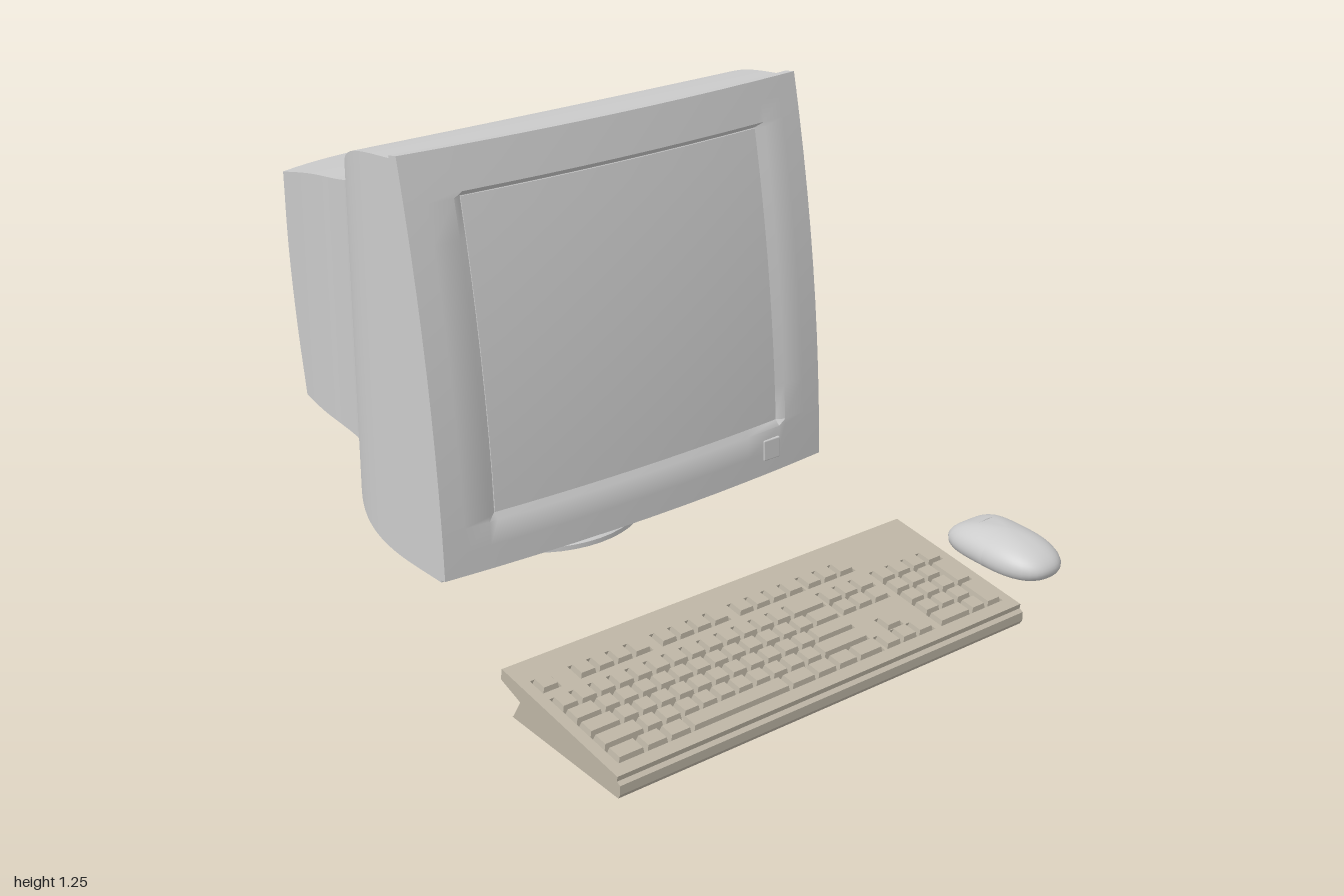
import * as THREE from 'three';
import { mergeGeometries, toCreasedNormals } from 'three/addons/utils/BufferGeometryUtils.js';
import { RoundedBoxGeometry } from 'three/addons/geometries/RoundedBoxGeometry.js';

const CX = -0.143; // centre line of the monitor
const grey = new THREE.MeshStandardMaterial({ color: 0xcccccc, side: THREE.DoubleSide });
const beige = new THREE.MeshStandardMaterial({ color: 0xbdb5a5 });
const lerp = THREE.MathUtils.lerp;

function add(group, name, geometry, material = grey, x = 0, y = 0, z = 0) {
  const mesh = new THREE.Mesh(geometry, material);
  mesh.name = name;
  mesh.position.set(x, y, z);
  group.add(mesh);
  return mesh;
}

// Move every vertex of a geometry by a rule
function warp(geometry, rule) {
  const p = geometry.attributes.position;
  for (let i = 0; i < p.count; i++) p.setXYZ(i, ...rule(p.getX(i), p.getY(i), p.getZ(i)));
  geometry.computeVertexNormals();
  return geometry;
}

// Smooth curve through [position, value] pairs in rising order
function curve(pts) {
  const slope = (i) => {
    const a = pts[Math.max(i - 1, 0)], b = pts[Math.min(i + 1, pts.length - 1)];
    return (b[1] - a[1]) / (b[0] - a[0]);
  };
  return (x) => {
    x = THREE.MathUtils.clamp(x, pts[0][0], pts[pts.length - 1][0]);
    let i = 0;
    while (i < pts.length - 2 && x > pts[i + 1][0]) i++;
    const h = pts[i + 1][0] - pts[i][0], t = (x - pts[i][0]) / h, s = t * t * (3 - 2 * t);
    const d = (pts[i + 1][1] - pts[i][1]) / h;
    return lerp(pts[i][1], pts[i + 1][1], s)
      + h * t * (1 - t) * ((1 - t) * slope(i) - t * slope(i + 1)) * (d === 0 ? 0 : 1);
  };
}

// Monitor outlines as functions of depth z
const topLine = curve([[-1, 0.89], [-0.75, 0.957], [-0.5, 1.008], [-0.4, 1.055], [-0.3, 1.125], [-0.2, 1.19], [-0.12, 1.217], [0.04, 1.238]]);
const bottomLine = curve([[-0.95, 0.25], [-0.5, 0.26], [-0.37, 0.268], [-0.2, 0.205], [-0.1, 0.178], [0, 0.168], [0.2, 0.176]]);
const halfWidth = curve([[-1, 0.37], [-0.75, 0.41], [-0.55, 0.427], [-0.48, 0.44], [-0.4, 0.485], [-0.25, 0.575], [-0.15, 0.605], [0, 0.61], [0.2, 0.61]]);
const rearEdge = curve([[0, -0.872], [0.3, -0.922], [0.65, -0.957], [1, -0.964]]);
const frontEdge = (v) => 0.215 - 0.15 * v + 0.11 * v * (1 - v);
const bow = (u) => 0.03 * (1 - u * u); // u runs -1..1 across the width

function buildMonitor() {
  const g = new THREE.Group();
  g.name = 'monitor';

  // Tapering rear housing
  add(g, 'housing', warp(new THREE.BoxGeometry(1, 1, 1, 16, 24, 48), (x, y, z) => {
    const u = 2 * x, v = y + 0.5;
    const zz = lerp(rearEdge(v), frontEdge(v) - 0.026, z + 0.5);
    const py = lerp(bottomLine(zz), topLine(zz) + 0.004 * (1 - u * u), v);
    const bulge = z > 0 ? 2 * z * bow(u) : 2.4 * z * bow(u * Math.sqrt(Math.abs(u)));
    return [CX + u * halfWidth(zz), py, zz + bulge];
  }));

  // Bezel sloping in to a recessed opening
  const inner = (a, b) => Array.from({ length: 9 }, (_, i) => lerp(a, b, i / 8));
  const us = [-1, -0.9, -0.785, ...inner(-0.747, 0.747), 0.785, 0.9, 1];
  const vs = [0, 0.06, 0.12, ...inner(0.133, 0.886), 0.899, 0.95, 1];
  const bezel = warp(new THREE.BoxGeometry(1, 1, 1, 14, 14, 1), (x, y, z) => {
    const u = us[Math.round((x + 0.5) * 14)], v = vs[Math.round((y + 0.5) * 14)];
    const open = Math.abs(u) < 0.75 && v > 0.13 && v < 0.89;
    const depth = z < 0 ? 0.034 : open ? 0.016 : 0;
    return [CX + u * 0.615, lerp(0.19, 1.252, v) + (z < 0 ? -0.006 : 0), frontEdge(v) + bow(u) - depth];
  });
  add(g, 'bezel', toCreasedNormals(bezel, 0.9));

  // Curved glass
  add(g, 'screen', warp(new THREE.BoxGeometry(1, 1, 1, 16, 16, 1), (x, y, z) => {
    const u = x * 1.49, v = lerp(0.134, 0.885, y + 0.5);
    return [CX + u * 0.615, lerp(0.19, 1.252, v), frontEdge(v) + bow(u) - (z > 0 ? 0.013 : 0.03)];
  }));

  const button = add(g, 'powerButton', new RoundedBoxGeometry(0.058, 0.06, 0.02, 2, 0.004), grey, 0.285, 0.26, 0.222);
  button.rotation.x = -0.05;

  // Tapered tray under the housing, with sockets at its rear
  const trayBottom = curve([[-0.7, 0.165], [-0.2, 0.16], [0, 0.144], [0.19, 0.172]]);
  add(g, 'underTray', warp(new THREE.BoxGeometry(1, 1, 1, 1, 1, 20), (x, y, z) => {
    const zz = lerp(-0.69, 0.19, z + 0.5);
    const w = lerp(0.295, 0.455, THREE.MathUtils.clamp((zz + 0.69) / 0.65, 0, 1));
    return [CX + 2 * x * w, y > 0 ? bottomLine(zz) + 0.015 : trayBottom(zz), zz];
  }));
  for (const side of [-1, 1]) {
    const frame = new THREE.Shape([[-0.05, -0.022], [0.05, -0.022], [0.05, 0.022], [-0.05, 0.022]].map((p) => new THREE.Vector2(...p)));
    frame.holes.push(new THREE.Path().absellipse(0, 0, 0.036, 0.013, 0, Math.PI * 2));
    add(g, 'socketFrame', new THREE.ExtrudeGeometry(frame, { depth: 0.014, bevelEnabled: false }), grey, CX + side * 0.21, 0.205, -0.7);
    add(g, 'socketPins', new THREE.BoxGeometry(0.04, 0.008, 0.016), grey, CX + side * 0.21, 0.205, -0.69);
  }

  // Swivel foot, hollow underneath
  const profile = [[0, 0.19], [0.185, 0.19], [0.182, 0.163], [0.15, 0.14], [0.125, 0.115], [0.158, 0.115], [0.172, 0.107],
    [0.215, 0.075], [0.285, 0.045], [0.297, 0.036], [0.297, 0.022], [0.288, 0.018], [0.275, 0.024], [0, 0.06]];
  const foot = new THREE.LatheGeometry(profile.map((p) => new THREE.Vector2(...p)), 48);
  add(g, 'swivelFoot', toCreasedNormals(foot, 0.7), grey, CX, 0, -0.275);
  return g;
}

function buildKeyboard() {
  const g = new THREE.Group();
  g.name = 'keyboard';
  const U = 0.0542, X0 = -0.773, W = 1.28, KX = -0.163;
  const rowStart = (r) => (r < 1 ? 0.6 + r * U : 0.68 + (r - 1) * U);

  // Wedge-shaped case with an overhanging rear lip
  const side = new THREE.Shape([[0.99, 0], [0.997, 0.012], [0.997, 0.036], [0.985, 0.042], [0.527, 0.097],
    [0.525, 0.08], [0.605, 0.056], [0.575, 0.004], [0.57, 0]].map((p) => new THREE.Vector2(...p)));
  const shell = new THREE.ExtrudeGeometry(side, { depth: W, bevelEnabled: false });
  shell.rotateY(-Math.PI / 2).translate(KX + W / 2, 0, 0);
  add(g, 'keyboardCase', shell, beige);

  // Sloping deck holds the cover plate and keys
  const deck = new THREE.Group();
  deck.name = 'keyDeck';
  deck.position.set(0, 0.055, 0.987);
  deck.rotation.x = 0.12;
  g.add(deck);
  const rect = (Type, x0, x1, z0, z1) => new Type([[x0, z1], [x1, z1], [x1, z0], [x0, z0]].map(([x, z]) => new THREE.Vector2(x, 0.987 - z)));
  const plate = rect(THREE.Shape, KX - W / 2, KX + W / 2, 0.526, 0.987);
  const wells = [[0, 1, 0, 1], [2, 6, 0, 1], [6.5, 10.5, 0, 1], [11, 15, 0, 1], [15.15, 18.15, 0, 1], [0, 15, 1, 6],
    [15.15, 18.15, 1, 3], [16.15, 17.15, 4, 4.95], [15.15, 18.15, 5, 6], [18.55, 22.55, 1, 6]];
  for (const [a, b, r0, r1] of wells) {
    plate.holes.push(rect(THREE.Path, X0 + a * U, X0 + b * U, rowStart(r0), rowStart(r1 - 1) + U));
  }
  const cover = new THREE.ExtrudeGeometry(plate, { depth: 0.014, bevelEnabled: false });
  add(deck, 'coverPlate', cover.rotateX(-Math.PI / 2).translate(0, -0.014, 0), beige);

  // Keycaps with narrowed tops
  const caps = [];
  const key = (x, row, w = 1, h = 1) => {
    const sx = (w - 0.1) * U, sz = (h - 0.1) * U;
    const cap = warp(new THREE.BoxGeometry(1, 0.024, 1), (a, b, c) =>
      [a * (sx - (b > 0 ? 0.01 : 0)), b, c * (sz - (b > 0 ? 0.01 : 0))]);
    caps.push(cap.translate(X0 + (x + w / 2) * U, -0.003, rowStart(row) + h * U / 2 - 0.987));
  };
  const ones = (n) => Array(n).fill(1);
  // Negative widths are gaps
  const rows = [
    [1, -1, ...ones(4), -0.5, ...ones(4), -0.5, ...ones(4)],
    [...ones(13), 2], [1.5, ...ones(12), 1.5], [1.75, ...ones(11), 2.25], [2.25, ...ones(10), 2.75],
    [1.5, 1.25, 1.25, 5.5, 1.5, 1.25, 1.25, 1.5],
  ];
  rows.forEach((row, r) => {
    let x = 0;
    for (const w of row) {
      if (w > 0) key(x, r, w);
      x += Math.abs(w);
    }
  });
  for (const r of [0, 1, 2, 5]) for (let i = 0; i < 3; i++) key(15.15 + i, r);
  key(16.15, 4, 1, 0.95);
  for (let r = 1; r < 5; r++) for (let i = 0; i < 3; i++) key(18.55 + i, r);
  key(18.55, 5, 2);
  key(20.55, 5);
  key(21.55, 1);
  key(21.55, 2, 1, 2);
  key(21.55, 4, 1, 2);
  add(deck, 'keycaps', mergeGeometries(caps), beige);
  return g;
}

function buildMouse() {
  const g = new THREE.Group();
  g.name = 'mouse';
  g.position.set(0.706, 0.026, 0.72);
  // Rounded shell, squarer at the button end, flat below
  add(g, 'mouseShell', warp(new THREE.SphereGeometry(1, 40, 28), (x, y, z) => {
    const n = z < 0 ? 4 : 2.5, r = Math.hypot(x, z);
    const k = r < 1e-6 ? 0 : r / Math.pow(Math.abs(x) ** n + Math.abs(z) ** n, 1 / n);
    return [x * k * 0.096, y > 0 ? y * 0.064 : Math.max(y * 0.06, -0.024), z * k * 0.165];
  }));
  // Seam behind the buttons
  const seam = [];
  for (let i = 0; i <= 16; i++) {
    const a = Math.PI * i / 16;
    seam.push(new THREE.Vector3(0.093 * Math.cos(a), 0.0565 * Math.sin(a), -0.08));
  }
  add(g, 'buttonSeam', new THREE.TubeGeometry(new THREE.CatmullRomCurve3(seam), 32, 0.0015, 5));
  add(g, 'cordStub', new THREE.CylinderGeometry(0.008, 0.01, 0.03, 12).rotateX(-Math.PI / 2), grey, 0, -0.006, -0.165);
  return g;
}

export function createModel() {
  const model = new THREE.Group();
  model.name = 'desktopSet';
  model.add(buildMonitor(), buildKeyboard(), buildMouse());
  return model;
}
